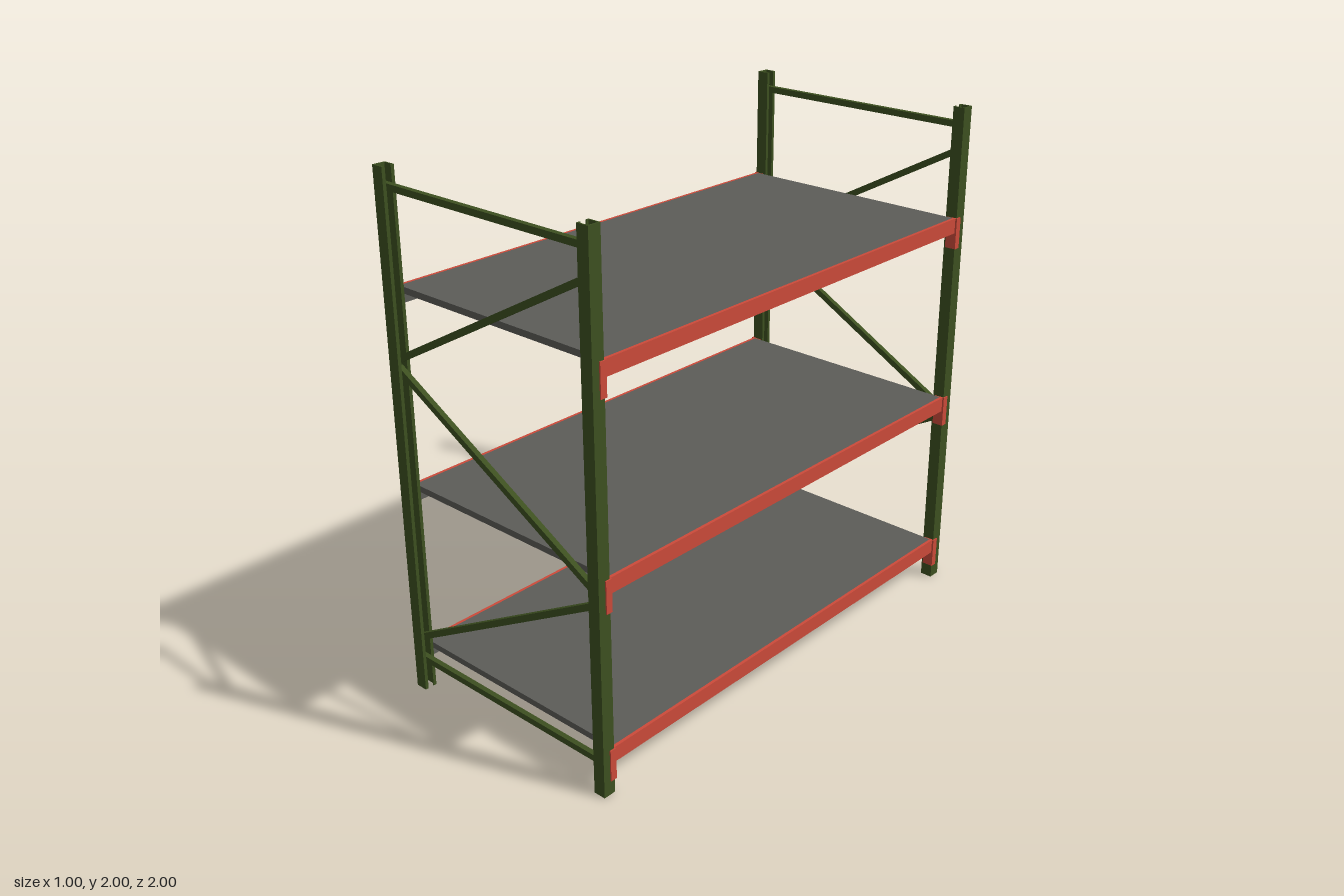
import * as THREE from 'three';

const green = new THREE.MeshStandardMaterial({ color: 0x3d5020 });
green.name = 'frame green';
const red = new THREE.MeshStandardMaterial({ color: 0xcc4a3a });
red.name = 'beam red';
const grey = new THREE.MeshStandardMaterial({ color: 0x5c5c58 });
grey.name = 'shelf grey';

// Box given by its min and max corners
function box(parent, name, material, min, max) {
  const size = max.map((v, i) => v - min[i]);
  const mesh = new THREE.Mesh(new THREE.BoxGeometry(...size), material);
  mesh.position.set(...max.map((v, i) => (v + min[i]) / 2));
  mesh.name = name;
  parent.add(mesh);
  return mesh;
}

// Lipped channel, open towards the middle of the rack
function uprightGeometry() {
  const w = 0.024, d = 0.025, t = 0.005, lip = 0.013;
  const shape = new THREE.Shape([
    [-w, -d], [w, -d], [w, d], [-w, d], [-w, d - lip], [-w + t, d - lip],
    [-w + t, d - t], [w - t, d - t], [w - t, -d + t], [-w + t, -d + t],
    [-w + t, -d + lip], [-w, -d + lip],
  ].map(([x, y]) => new THREE.Vector2(x, y)));
  const geometry = new THREE.ExtrudeGeometry(shape, { depth: 2, bevelEnabled: false });
  return geometry.rotateX(-Math.PI / 2);
}

// Square bar between two points in the plane of an end frame
function brace(parent, [x0, y0], [x1, y1], name) {
  const length = Math.hypot(x1 - x0, y1 - y0);
  const bar = new THREE.Mesh(new THREE.BoxGeometry(length, 0.024, 0.02), green);
  bar.position.set((x0 + x1) / 2, (y0 + y1) / 2, 0);
  bar.rotation.z = Math.atan2(y1 - y0, x1 - x0);
  bar.name = name;
  parent.add(bar);
}

function createEndFrame(name) {
  const frame = new THREE.Group();
  frame.name = name;
  const geometry = uprightGeometry();
  for (const side of [1, -1]) {
    const upright = new THREE.Mesh(geometry, green);
    upright.position.x = side * 0.471;
    upright.rotation.y = side > 0 ? 0 : Math.PI;
    upright.name = side > 0 ? 'leftUpright' : 'rightUpright';
    frame.add(upright);
  }
  const x = 0.475;
  for (const y of [0.125, 1.93]) brace(frame, [-x, y], [x, y], 'crossBar');
  brace(frame, [-x, 0.212], [x, 0.738], 'diagonalBrace');
  brace(frame, [x, 0.767], [-x, 1.288], 'diagonalBrace');
  brace(frame, [-x, 1.317], [x, 1.838], 'diagonalBrace');
  return frame;
}

// Shelf level: deck with turned-down sides, two beams and four end brackets
function createLevel(top) {
  const level = new THREE.Group();
  level.name = 'shelfLevel';
  const bottom = top - 0.059;
  box(level, 'deck', grey, [-0.481, top - 0.024, -0.944], [0.481, top, 0.944]);
  for (const side of [1, -1]) {
    const half = new THREE.Group();
    half.name = side > 0 ? 'leftBeam' : 'rightBeam';
    const place = (name, mat, x0, x1, y0, y1, z0, z1) => box(half, name, mat,
      [Math.min(side * x0, side * x1), y0, z0], [Math.max(side * x0, side * x1), y1, z1]);
    place('deckFlange', grey, 0.464, 0.481, bottom, top - 0.024, -0.944, 0.944);
    place('beam', red, 0.481, 0.493, bottom, top, -0.95, 0.95);
    for (const end of [1, -1]) {
      const span = (a, b) => [Math.min(end * a, end * b), Math.max(end * a, end * b)];
      place('bracketSide', red, 0.495, 0.5, top - 0.122, top, ...span(0.945, 0.971));
      place('bracketEnd', red, 0.455, 0.4955, top - 0.122, top - 0.001, ...span(0.945, 0.95));
    }
    level.add(half);
  }
  return level;
}

export function createModel() {
  const rack = new THREE.Group();
  rack.name = 'storageRack';
  for (const z of [0.975, -0.975]) {
    const frame = createEndFrame(z > 0 ? 'frontFrame' : 'backFrame');
    frame.position.z = z;
    rack.add(frame);
  }
  for (const top of [0.178, 0.829, 1.576]) rack.add(createLevel(top));
  return rack;
}
